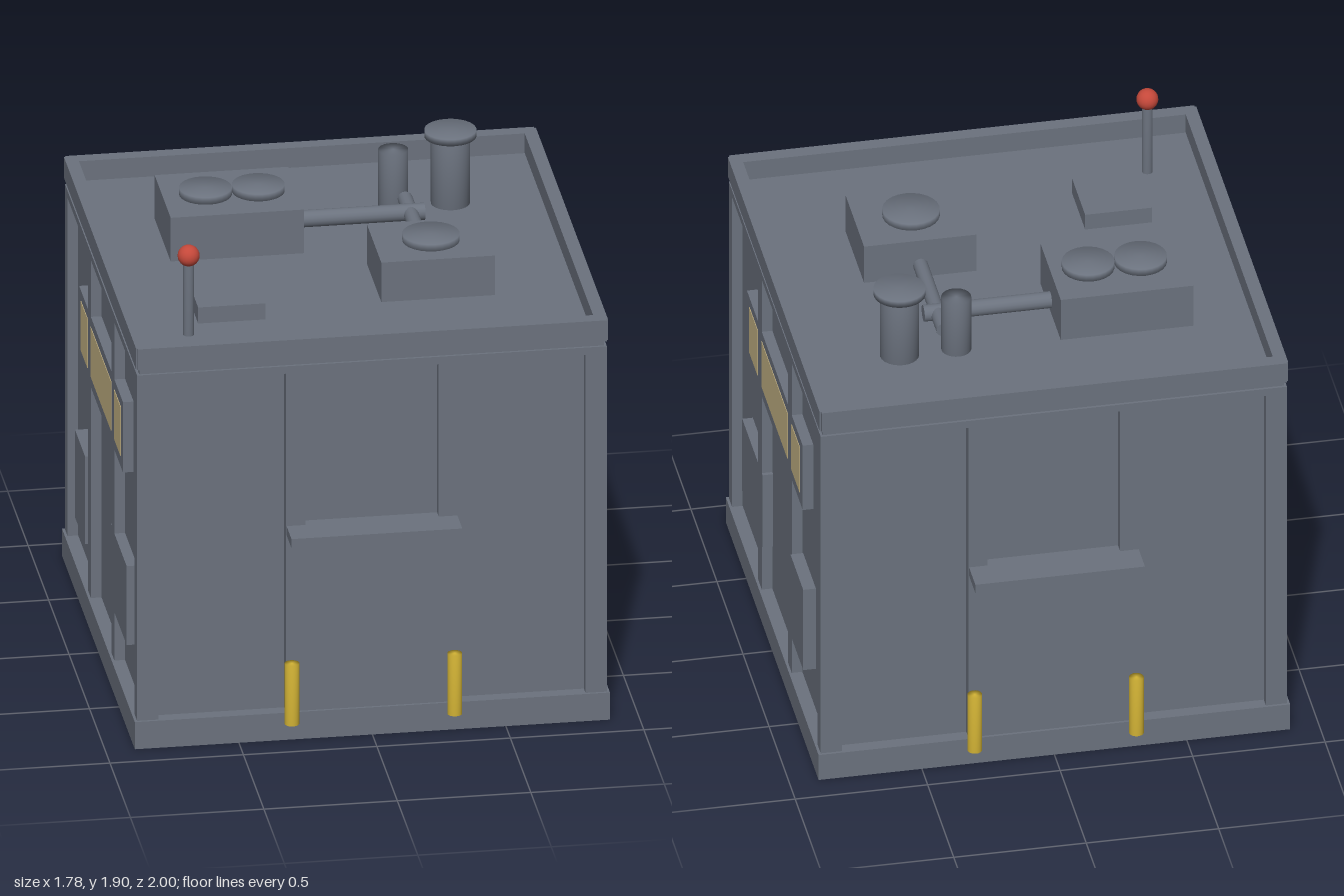
import * as THREE from 'three';
import { mergeVertices } from 'three/addons/utils/BufferGeometryUtils.js';

const mat = (name, color) => Object.assign(new THREE.MeshStandardMaterial({ color }), { name });

export function createModel() {
  const metal = mat('blue grey metal', 0x6b727e);
  const glass = mat('tan window glass', 0xc8b687);
  const yellow = mat('yellow bollard paint', 0xd6b636);
  const red = mat('red beacon', 0xc4483a);
  const model = new THREE.Group();

  function add(parent, name, geo, material = metal) {
    const mesh = new THREE.Mesh(geo, material);
    mesh.name = name;
    parent.add(mesh);
    return mesh;
  }
  // Box given by its minimum and maximum on each axis
  function box(parent, name, x, y, z, material) {
    const [a, b, c] = [x, y, z].map((r) => [Math.abs(r[1] - r[0]), (r[0] + r[1]) / 2]);
    add(parent, name, new THREE.BoxGeometry(a[0], b[0], c[0]), material).position.set(a[1], b[1], c[1]);
  }
  // Upright cylinder with normals smoothed over the rim
  function cylinder(parent, name, x, z, r, y0, y1, material) {
    let geo = new THREE.CylinderGeometry(r, r, y1 - y0, 24);
    geo.deleteAttribute('uv');
    geo.deleteAttribute('normal');
    geo = mergeVertices(geo);
    geo.computeVertexNormals();
    add(parent, name, geo, material).position.set(x, (y0 + y1) / 2, z);
  }

  // Body: plinth, recessed walls and roof deck
  box(model, 'plinth', [-0.89, 0.89], [0, 0.11], [-0.89, 0.89]);
  box(model, 'walls', [-0.84, 0.84], [0.11, 1.54], [-0.84, 0.84]);
  box(model, 'topBand', [-0.87, 0.87], [1.48, 1.54], [-0.87, 0.87]);

  for (const s of [-1, 1]) {
    // Parapet around the roof
    box(model, 'parapetEnd', [-0.878, 0.878], [1.535, 1.62], [s * 0.835, s * 0.89]);
    box(model, 'parapetSide', [s * 0.835, s * 0.884], [1.535, 1.62], [-0.88, 0.88]);

    // Front and back faces: beam, door posts, lower door panel, canopy and bollards
    const end = new THREE.Group();
    end.name = s > 0 ? 'frontFace' : 'backFace';
    model.add(end);
    const ez = [s * 0.83, s * 0.88];
    box(end, 'beam', [-0.88, 0.88], [1.48, 1.51], ez);
    box(end, 'lowerDoorPanel', [-0.25, 0.25], [0.11, 0.805], ez);
    box(end, 'canopy', [-0.32, 0.32], [0.825, 0.862], [s * 0.83, s]);
    for (const m of [-1, 1]) {
      box(end, 'cornerPost', [m * 0.8, m * 0.88], [0.11, 1.51], ez);
      box(end, 'doorPost', [m * 0.25, m * 0.323], [0.11, 1.5], ez);
      cylinder(end, 'bollard', m * 0.305, s * 0.913, 0.0275, 0.075, 0.32, yellow);
    }

    // Side faces: beam, posts, window band and equipment boxes
    const side = new THREE.Group();
    side.name = s > 0 ? 'leftFace' : 'rightFace';
    model.add(side);
    const sx = [s * 0.83, s * 0.88];
    box(side, 'beam', sx, [1.48, 1.51], [-0.88, 0.88]);
    box(side, 'windowFrame', sx, [0.965, 1.25], [-0.535, 0.535]);
    box(side, 'flushCabinet', sx, [0.305, 0.625], [0.235, 0.625]);
    box(side, 'raisedCabinet', [s * 0.83, s * 0.888], [0.29, 0.645], [-0.585, -0.34]);
    for (const m of [-1, 1]) {
      box(side, 'cornerPost', sx, [0.11, 1.51], [m * 0.82, m * 0.88]);
      box(side, 'sidePost', sx, [0.11, 1.5], [m * 0.25, m * 0.325]);
    }
    for (const z of [[-0.485, -0.325], [-0.25, 0.25], [0.325, 0.485]])
      box(side, 'windowPane', [s * 0.878, s * 0.882], [1.01, 1.21], z, glass);
  }

  // Roof equipment
  const roof = new THREE.Group();
  roof.name = 'roofEquipment';
  model.add(roof);
  box(roof, 'twinFanUnit', [-0.61, -0.11], [1.53, 1.717], [-0.453, 0 - 0.06]);
  for (const x of [-0.45, -0.252]) cylinder(roof, 'fanCover', x, -0.255, 0.098, 1.71, 1.745);
  box(roof, 'singleFanUnit', [0.105, 0.53], [1.53, 1.7], [0.067, 0.423]);
  cylinder(roof, 'fanCover', 0.318, 0.245, 0.107, 1.69, 1.727);
  box(roof, 'roofHatch', [-0.595, -0.343], [1.53, 1.605], [0.263, 0.513]);
  cylinder(roof, 'chimney', 0.495, -0.435, 0.073, 1.53, 1.815);
  cylinder(roof, 'chimneyCap', 0.495, -0.435, 0.097, 1.81, 1.836);
  cylinder(roof, 'ventPipe', 0.281, -0.435, 0.056, 1.53, 1.77);

  // Ducts between the units
  const ductX = add(roof, 'crossDuct', new THREE.CylinderGeometry(0.032, 0.032, 0.48, 16));
  ductX.rotation.z = Math.PI / 2;
  ductX.position.set(0.13, 1.592, -0.255);
  const ductZ = add(roof, 'longDuct', new THREE.CylinderGeometry(0.028, 0.028, 0.46, 16));
  ductZ.rotation.x = Math.PI / 2;
  ductZ.position.set(0.317, 1.592, -0.15);

  // Mast with beacon
  cylinder(roof, 'mast', -0.645, 0.605, 0.02, 1.53, 1.84);
  add(roof, 'beacon', new THREE.SphereGeometry(0.041, 20, 14), red).position.set(-0.645, 1.86, 0.605);

  return model;
}
